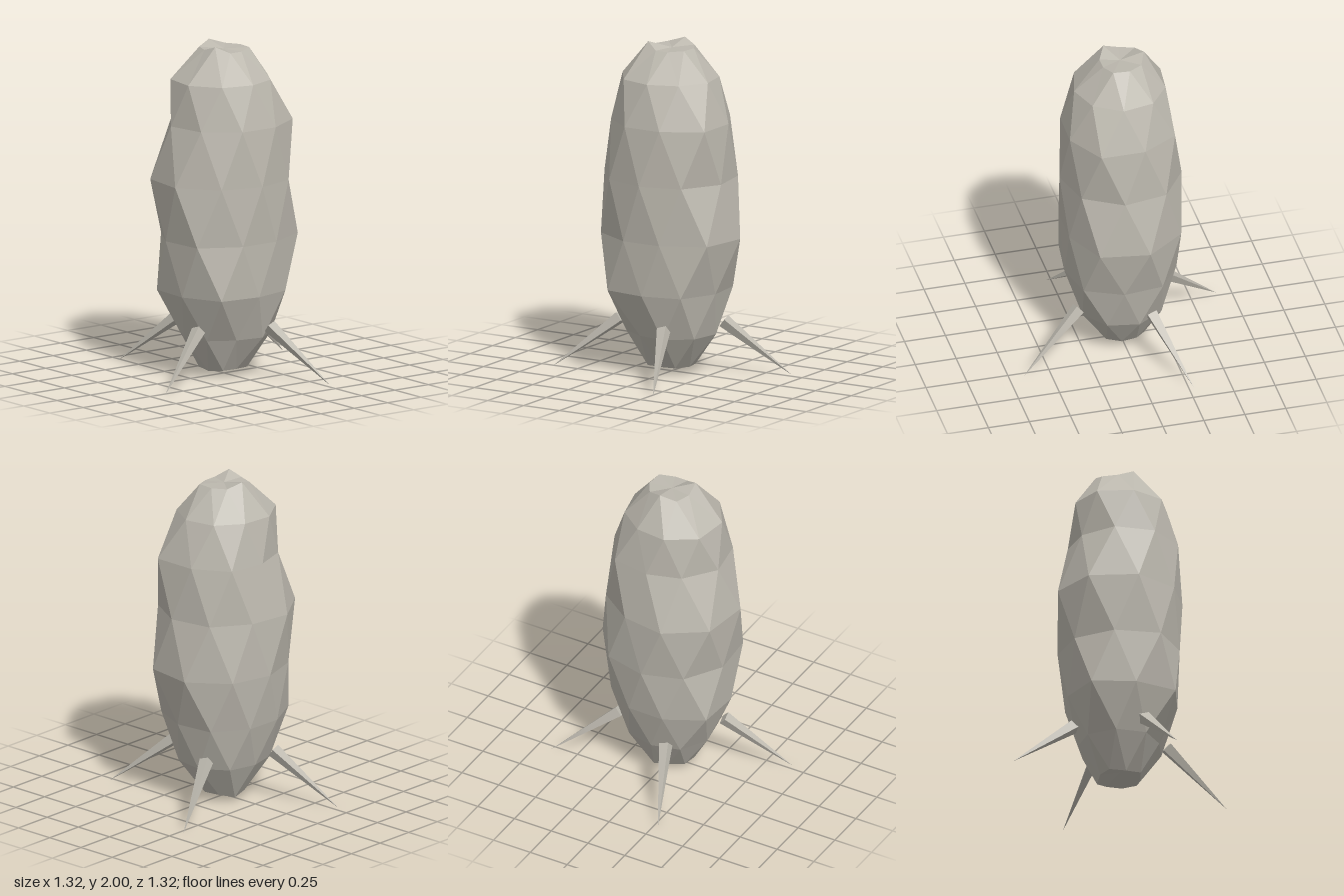
import * as THREE from 'three';

const SIDES = 9;

// Body rings from top to bottom: height, angular offset (in steps), radius at each corner
const RINGS = [
  { y: 1.97, off: 0.5, r: [0.122, 0.15, 0.14, 0.14, 0.145, 0.15, 0.13, 0.14, 0.122] },
  { y: 1.79, off: 0, r: [0.28, 0.28, 0.285, 0.28, 0.27, 0.29, 0.32, 0.315, 0.30] },
  { y: 1.53, off: 0.5, r: [0.36, 0.41, 0.36, 0.36, 0.31, 0.32, 0.355, 0.36, 0.355] },
  { y: 1.19, off: 0, r: [0.37, 0.39, 0.39, 0.39, 0.365, 0.405, 0.44, 0.43, 0.39] },
  { y: 0.84, off: 0.5, r: [0.365, 0.44, 0.435, 0.40, 0.37, 0.38, 0.39, 0.42, 0.365] },
  { y: 0.52, off: 0, r: [0.34, 0.37, 0.345, 0.36, 0.335, 0.34, 0.40, 0.37, 0.40] },
  { y: 0.25, off: 0.5, r: [0.27, 0.28, 0.28, 0.27, 0.25, 0.27, 0.27, 0.27, 0.24] },
  { y: 0.05, off: 0, r: [0.12, 0.14, 0.14, 0.14, 0.14, 0.13, 0.15, 0.14, 0.15] },
];

// Raised or lowered corners on the end rings
const LIFT = { '0,4': 0.03, '0,7': 0.03, '0,0': -0.01, '0,8': -0.01, '7,4': -0.02, '7,7': -0.01 };

function bodyGeometry() {
  const pos = [];
  const index = [];
  RINGS.forEach((ring, i) => {
    ring.r.forEach((r, k) => {
      const a = ((k + ring.off) / SIDES) * Math.PI * 2;
      pos.push(Math.sin(a) * r, ring.y + (LIFT[`${i},${k}`] || 0), Math.cos(a) * r);
    });
  });
  const top = pos.length / 3;
  const bottom = top + 1;
  pos.push(0, 1.965, 0, 0, 0.09, 0);

  const id = (i, k) => i * SIDES + (k % SIDES);
  const last = RINGS.length - 1;
  for (let k = 0; k < SIDES; k++) {
    index.push(top, id(0, k), id(0, k + 1));
    index.push(bottom, id(last, k + 1), id(last, k));
    // Staggered triangles between neighbouring rings
    for (let i = 0; i < last; i++) {
      const a = id(i, k), b = id(i, k + 1), c = id(i + 1, k), d = id(i + 1, k + 1);
      if (RINGS[i].off > 0) index.push(a, d, b, a, c, d);
      else index.push(a, c, b, b, c, d);
    }
  }
  const geo = new THREE.BufferGeometry();
  geo.setAttribute('position', new THREE.Float32BufferAttribute(pos, 3));
  geo.setIndex(index);
  const flat = geo.toNonIndexed();
  flat.computeVertexNormals();
  return flat;
}

export function createModel() {
  const model = new THREE.Group();
  model.name = 'spikedRock';

  const stone = new THREE.MeshStandardMaterial({ color: 0xbdb9af, flatShading: true });
  stone.name = 'warm grey stone';

  const body = new THREE.Mesh(bodyGeometry(), stone);
  body.name = 'body';
  model.add(body);

  // Four spikes splayed out and down to the ground
  const base = new THREE.Vector3(0.12, 0.32, 0.285);
  const tip = new THREE.Vector3(0.28, 0.005, 0.66);
  const axis = tip.clone().sub(base);
  const spikeGeo = new THREE.ConeGeometry(0.042, axis.length(), 4);
  for (let i = 0; i < 4; i++) {
    const turn = new THREE.Group();
    turn.name = `spike${i + 1}`;
    turn.rotation.y = (i * Math.PI) / 2;
    const spike = new THREE.Mesh(spikeGeo, stone);
    spike.name = 'spikeCone';
    spike.position.copy(base).addScaledVector(axis, 0.5);
    spike.quaternion.setFromUnitVectors(new THREE.Vector3(0, 1, 0), axis.clone().normalize());
    turn.add(spike);
    model.add(turn);
  }
  return model;
}
